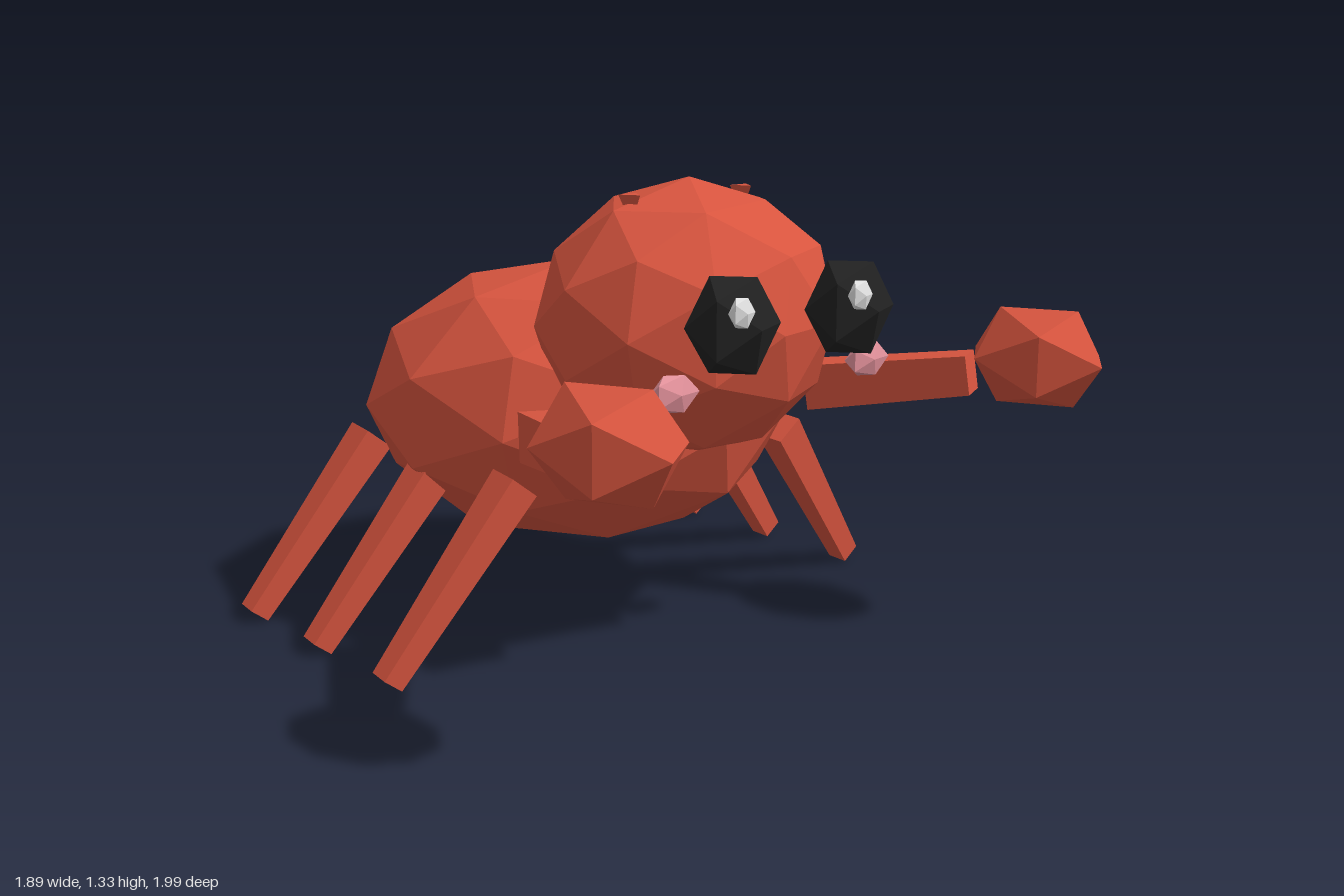
import * as THREE from 'three';

const V = (x, y, z) => new THREE.Vector3(x, y, z);

function flatMaterial(name, color) {
  const m = new THREE.MeshStandardMaterial({ color, flatShading: true });
  m.name = name;
  return m;
}

// Faceted ellipsoid with its five-fold pole along z
function ball(name, material, detail, center, radii) {
  const g = new THREE.IcosahedronGeometry(1, detail);
  g.rotateX(Math.atan2(1, (1 + Math.sqrt(5)) / 2));
  g.rotateZ(Math.PI / 2);
  g.scale(...radii);
  g.computeVertexNormals();
  const mesh = new THREE.Mesh(g, material);
  mesh.name = name;
  mesh.position.set(...center);
  return mesh;
}

// Square tapered bar running from a to b
function limb(name, material, a, b, widthA, widthB, up) {
  const g = new THREE.BoxGeometry(1, 1, a.distanceTo(b));
  const p = g.attributes.position;
  for (let i = 0; i < p.count; i++) {
    const w = p.getZ(i) < 0 ? widthA : widthB;
    p.setXY(i, p.getX(i) * w, p.getY(i) * w);
  }
  g.computeVertexNormals();
  const mesh = new THREE.Mesh(g, material);
  mesh.name = name;
  mesh.up.copy(up);
  mesh.position.copy(a).lerp(b, 0.5);
  mesh.lookAt(b);
  return mesh;
}

export function createModel() {
  const shell = flatMaterial('red shell', 0xd9553f);
  const black = flatMaterial('eye black', 0x222222);
  const white = flatMaterial('eye highlight white', 0xffffff);
  const pink = flatMaterial('cheek pink', 0xe8959f);

  const model = new THREE.Group();
  model.name = 'crab';

  // Body and head
  model.add(ball('body', shell, 1, [0, 0.63, -0.333], [0.628, 0.42, 0.665]));
  model.add(ball('head', shell, 1, [0, 0.935, 0.173], [0.46, 0.393, 0.381]));

  for (const s of [1, -1]) {
    const side = s > 0 ? 'left' : 'right';

    // Face
    model.add(ball(side + 'Eye', black, 0, [s * 0.216, 0.993, 0.58], [0.139, 0.147, 0.106]));
    model.add(ball(side + 'EyeHighlight', white, 0, [s * 0.216 - 0.046, 1.04, 0.66], [0.042, 0.045, 0.022]));
    model.add(ball(side + 'Cheek', pink, 0, [s * 0.36, 0.825, 0.518], [0.085, 0.057, 0.03]));

    // Small three-sided nubs on the head
    const nub = new THREE.Mesh(new THREE.ConeGeometry(0.036, 0.08, 3), shell);
    nub.name = side + 'HeadNub';
    nub.rotation.z = Math.PI;
    nub.position.set(s * 0.205, 1.252, 0.17);
    model.add(nub);

    // Arm and claw
    model.add(limb(side + 'Arm', shell, V(s * 0.507, 0.675, 0.167), V(s * 0.722, 0.748, 0.6), 0.135, 0.115, V(0, 1, 0)));
    model.add(ball(side + 'Claw', shell, 0, [s * 0.788, 0.812, 0.778], [0.176, 0.162, 0.219]));

    // Three walking legs
    [0.03, -0.335, -0.7].forEach((z, i) => {
      model.add(limb(side + 'Leg' + (i + 1), shell, V(s * 0.504, 0.518, z), V(s * 0.888, 0.02, z - 0.067), 0.1, 0.067, V(0, 0, 1)));
    });
  }
  return model;
}
